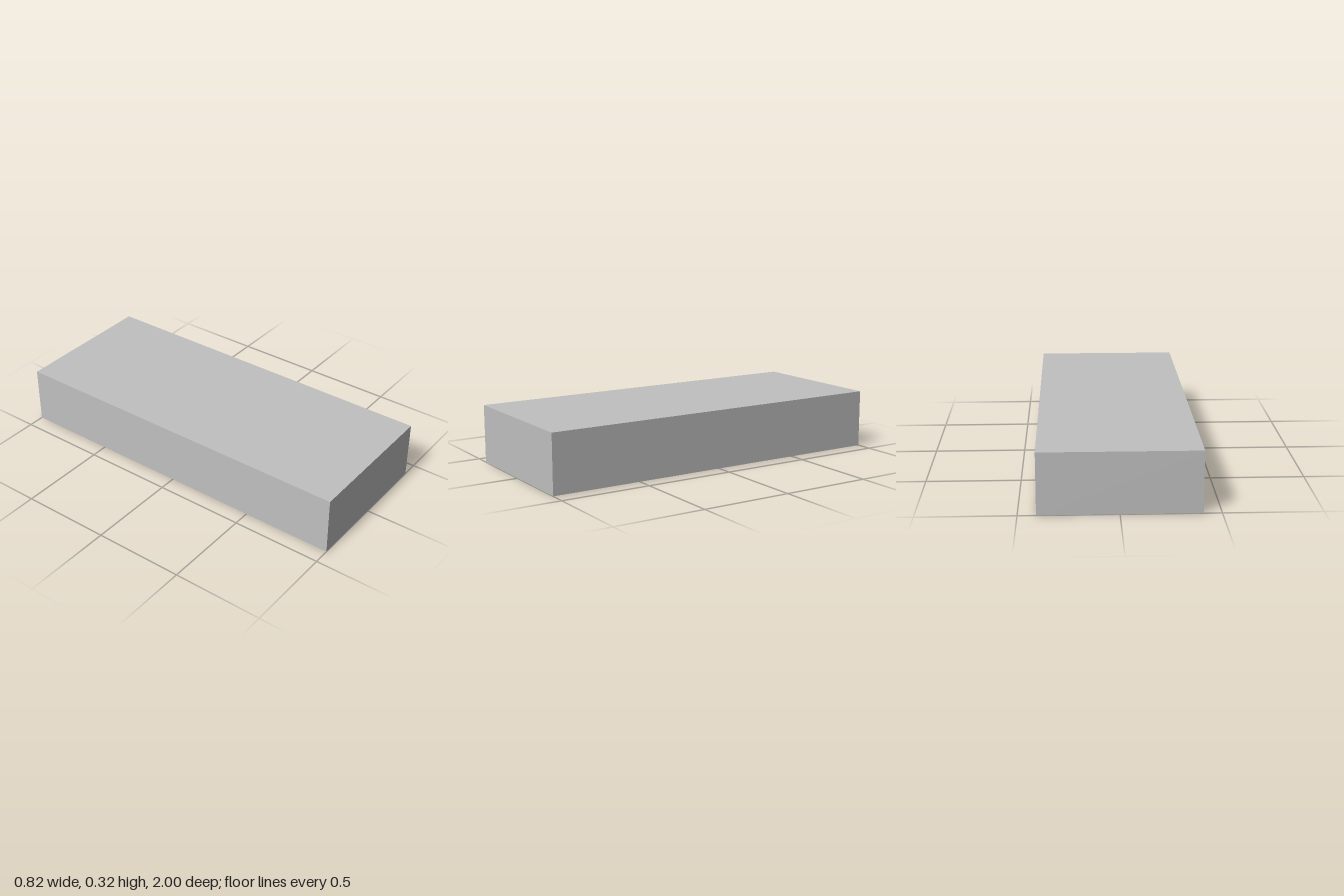
import * as THREE from 'three';

const steel = new THREE.MeshStandardMaterial({ color: 0xc0c0c0 });
steel.name = 'brushedSteel';

const W = 0.816, H = 0.322, L = 2, T = 0.008;

function box(parent, name, w, h, d, x, y, z) {
  const mesh = new THREE.Mesh(new THREE.BoxGeometry(w, h, d), steel);
  mesh.name = name;
  mesh.position.set(x, y, z);
  parent.add(mesh);
  return mesh;
}

// One framed filter with upright vanes; side is the outward direction on local x
function createFilter(width, height, side) {
  const filter = new THREE.Group();
  filter.name = 'greaseFilter';
  const rail = 0.012, depth = 0.016, vanes = 7;
  box(filter, 'filterBack', 0.004, height, width, -side * 0.006, height / 2, 0);
  for (const e of [-1, 1]) {
    box(filter, 'filterSideRail', depth, height, rail, 0, height / 2, e * (width - rail) / 2);
    box(filter, 'filterEndRail', depth, rail, width - 2 * rail, 0, height / 2 + e * (height - rail) / 2, 0);
  }
  const pitch = (width - 2 * rail) / vanes;
  for (let i = 0; i < vanes; i++) {
    box(filter, 'filterVane', 0.006, height - 2 * rail, pitch * 0.62,
      side * 0.003, height / 2, (i - (vanes - 1) / 2) * pitch);
  }
  return filter;
}

// Ceiling light with a rounded rectangular housing and a raised lens
function createLight() {
  const light = new THREE.Group();
  light.name = 'ceilingLight';
  const plate = (name, w, l, r, depth, y) => {
    const a = w / 2, b = l / 2;
    const s = new THREE.Shape();
    s.moveTo(-a + r, -b);
    s.lineTo(a - r, -b); s.quadraticCurveTo(a, -b, a, -b + r);
    s.lineTo(a, b - r); s.quadraticCurveTo(a, b, a - r, b);
    s.lineTo(-a + r, b); s.quadraticCurveTo(-a, b, -a, b - r);
    s.lineTo(-a, -b + r); s.quadraticCurveTo(-a, -b, -a + r, -b);
    const geo = new THREE.ExtrudeGeometry(s, { depth, bevelEnabled: false, curveSegments: 6 });
    geo.rotateX(Math.PI / 2);
    const mesh = new THREE.Mesh(geo, steel);
    mesh.name = name;
    mesh.position.y = y;
    light.add(mesh);
  };
  plate('lightHousing', 0.165, 0.31, 0.025, 0.035, 0);
  plate('lightLens', 0.125, 0.27, 0.015, 0.006, -0.035);
  return light;
}

export function createModel() {
  const hood = new THREE.Group();
  hood.name = 'exhaustHood';

  // Canopy shell, open at the bottom
  box(hood, 'topPanel', W, T, L, 0, H - T / 2, 0);
  for (const s of [-1, 1]) {
    box(hood, 'sideWall', T, H - T, L, s * (W - T) / 2, (H - T) / 2, 0);
    box(hood, 'endWall', W - 2 * T, H - T, T, 0, (H - T) / 2, s * (L - T) / 2);
  }

  // Drip gutter along one lower edge
  const inside = L - 2 * T;
  box(hood, 'gutterFloor', 0.075, 0.005, inside, -W / 2 + T + 0.0375, 0.0025, 0);
  box(hood, 'gutterLip', 0.005, 0.022, inside, -W / 2 + T + 0.0775, 0.011, 0);

  // V-shaped filter bank above a grease trough
  const bank = new THREE.Group();
  bank.name = 'filterBank';
  bank.position.set(0.2, 0.065, 0);
  box(bank, 'greaseTrough', 0.03, 0.012, inside, 0, 0, 0);
  const count = 5, pitch = inside / count;
  const rise = H - T - 0.065, run = 0.18;
  for (const s of [-1, 1]) {
    const panel = new THREE.Group();
    panel.name = 'filterRow';
    panel.position.x = s * 0.006;
    panel.rotation.z = -s * Math.atan2(run, rise);
    for (let i = 0; i < count; i++) {
      const filter = createFilter(pitch - 0.006, Math.hypot(run, rise) - 0.005, s);
      filter.position.z = (i - (count - 1) / 2) * pitch;
      panel.add(filter);
    }
    bank.add(panel);
  }
  hood.add(bank);

  // Pair of ceiling lights
  for (const s of [-1, 1]) {
    const light = createLight();
    light.position.set(-0.25, H - T, s * 0.62);
    hood.add(light);
  }
  return hood;
}
